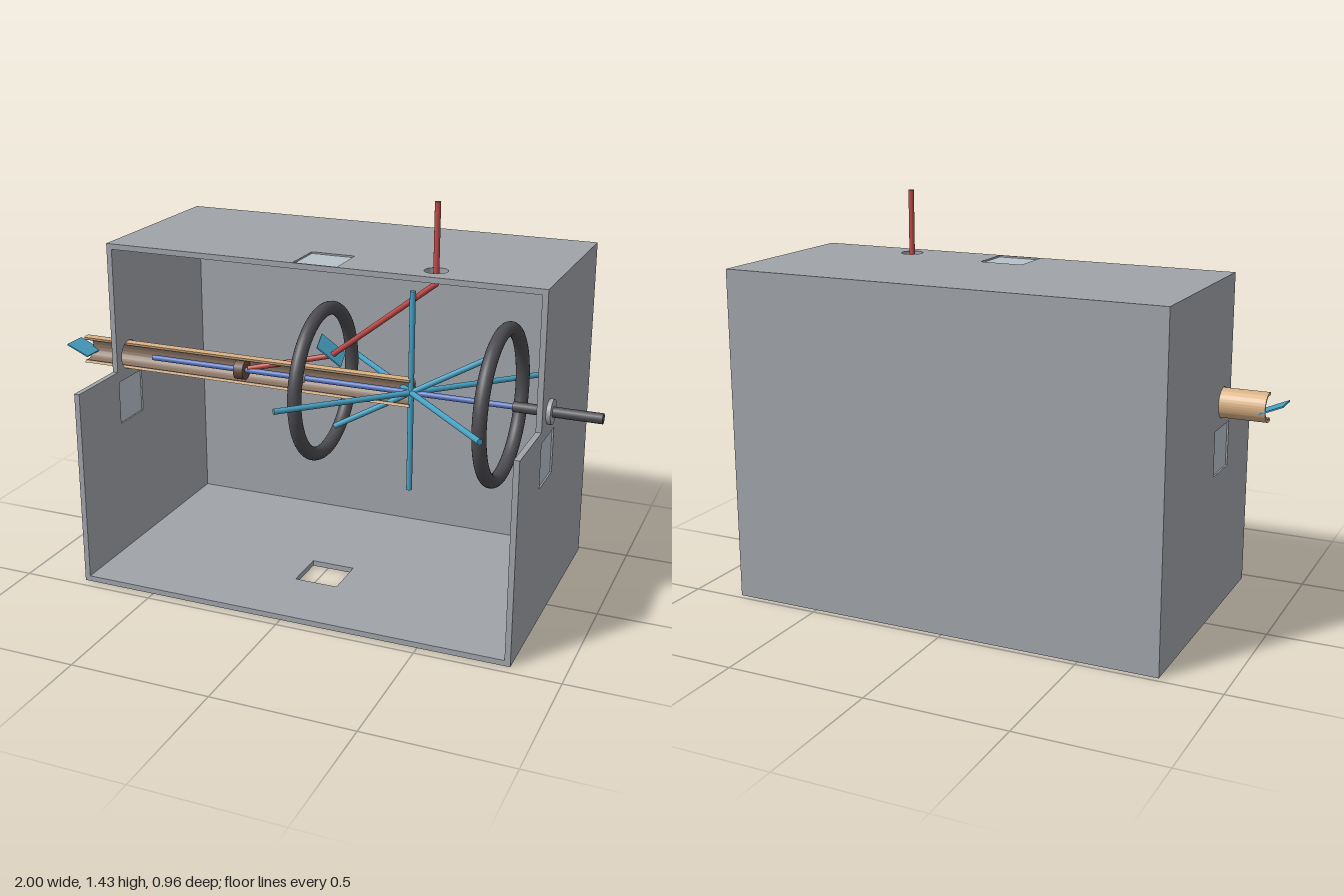
import * as THREE from 'three';
import { toCreasedNormals } from 'three/addons/utils/BufferGeometryUtils.js';

const mat = (name, color) => {
  const m = new THREE.MeshStandardMaterial({ color });
  m.name = name;
  return m;
};
const V = (x, y, z) => new THREE.Vector3(x, y, z);

export function createModel() {
  const model = new THREE.Group();
  const grey = mat('housing grey', 0x9fa3a8);
  const glass = mat('pane grey blue', 0xb6c1c9);
  const dark = mat('dark rubber', 0x4c4b50);
  const teal = mat('sky blue', 0x46a0c2);
  const blue = mat('shaft blue', 0x5474bd);
  const red = mat('red', 0xbd4b49);
  const tan = mat('tan', 0xd8b083);
  const brown = mat('brown', 0x86705f);
  const umber = mat('dark brown', 0x654d40);

  const AY = 0.765, AZ = 0.117; // axis of the mechanism
  const T = 0.02;               // wall thickness
  const X0 = -0.78, X1 = 0.82, ZB = -0.48, ZT = 0.204, ZF = 0.464, H = 1.2, NOTCH = 0.72;

  const add = (name, geo, material, parent = model) => {
    const mesh = new THREE.Mesh(geo, material);
    mesh.name = name;
    parent.add(mesh);
    return mesh;
  };
  // round bar between two points
  const rod = (name, a, b, r, material, parent = model) => {
    const d = b.clone().sub(a);
    const m = add(name, new THREE.CylinderGeometry(r, r, d.length(), 20), material, parent);
    m.position.copy(a).add(b).multiplyScalar(0.5);
    m.quaternion.setFromUnitVectors(V(0, 1, 0), d.normalize());
    return m;
  };
  const polygon = pts => new THREE.Shape(pts.map(p => new THREE.Vector2(...p)));
  const square = (cx, cy, h) => polygon([[cx - h, cy - h], [cx - h, cy + h], [cx + h, cy + h], [cx + h, cy - h]]);
  const circle = (cx, cy, r) => new THREE.Path().absarc(cx, cy, r, 0, Math.PI * 2, true);
  const extrude = (shape, depth) => toCreasedNormals(
    new THREE.ExtrudeGeometry(shape, { depth, bevelEnabled: false, curveSegments: 32 }), 0.5);
  // outline in (z, y) running towards -x, and outline in (x, z) running towards -y
  const alongX = (shape, depth, x) => extrude(shape, depth).rotateY(-Math.PI / 2).translate(x, 0, 0);
  const alongY = (shape, depth, y) => extrude(shape, depth).rotateX(Math.PI / 2).translate(0, y, 0);

  // housing: notched side walls, floor, roof and back
  const housing = new THREE.Group();
  housing.name = 'housing';
  model.add(housing);
  const WIN = 0.08, WX = 0.02, WY = 0.6;
  for (const [side, x, r] of [['right', X0 + T, 0.054], ['left', X1, 0.02]]) {
    const wall = polygon([[ZB, 0], [ZF, 0], [ZF, NOTCH], [ZT, NOTCH], [ZT, H], [ZB, H]]);
    wall.holes.push(square(AZ, WY, WIN), circle(AZ, AY, r));
    add(side + 'Wall', alongX(wall, T, x), grey, housing);
    add(side + 'Pane', new THREE.BoxGeometry(0.008, WIN * 2, WIN * 2), glass, housing)
      .position.set(x - T / 2, WY, AZ);
  }
  const plate = z => polygon([[X0 + T, ZB + T], [X1 - T, ZB + T], [X1 - T, z], [X0 + T, z]]);
  const floor = plate(ZF), roof = plate(ZT);
  floor.holes.push(square(WX, AZ, WIN));
  roof.holes.push(square(WX, AZ, WIN), circle(0.42, AZ, 0.04));
  add('floor', alongY(floor, T, T), grey, housing);
  add('roof', alongY(roof, T, H), grey, housing);
  add('roofPane', new THREE.BoxGeometry(WIN * 2, 0.008, WIN * 2), glass, housing).position.set(WX, H - T / 2, AZ);
  add('backWall', new THREE.BoxGeometry(X1 - X0 - 2 * T, H, T), grey, housing)
    .position.set((X0 + X1) / 2, H / 2, ZB + T / 2);

  // open trough with a darker inner face
  const channel = (ro, ri) => {
    const a = Math.PI * 70 / 180, b = Math.PI * 2 - a;
    const s = new THREE.Shape();
    s.absarc(AZ, AY, ro, a, b, false);
    s.absarc(AZ, AY, ri, b, a, true);
    return s;
  };
  add('trough', alongX(channel(0.052, 0.044), 1.28, 0.34), tan);
  add('troughLining', alongX(channel(0.044, 0.041), 1.278, 0.339), brown);

  // drive line
  const at = x => V(x, AY, AZ);
  rod('innerShaft', at(-0.66), at(0.72), 0.01, blue);
  rod('outerShaft', at(0.7), at(1), 0.018, dark);
  rod('bearingFlange', at(0.815), at(0.835), 0.043, grey);
  rod('piston', at(-0.318), at(-0.282), 0.035, umber);
  add('ballJoint', new THREE.SphereGeometry(0.022, 24, 16), grey).position.copy(at(-0.07));

  // two ring wheels
  for (const x of [0.02, 0.66]) {
    add('ringWheel', new THREE.TorusGeometry(0.256, 0.024, 20, 64).rotateY(Math.PI / 2), dark)
      .position.copy(at(x));
  }

  // star of crossed bars
  const star = new THREE.Group();
  star.name = 'spokeStar';
  star.position.copy(at(0.34));
  model.add(star);
  for (const d of [V(0, 0.357, 0), V(0.352, 0, 0.352), V(-0.352, 0, 0.352), V(0.28, 0.162, 0)]) {
    rod('spoke', d.clone().negate(), d, 0.01, teal, star);
  }

  // bent red lever
  const lever = [V(0.42, 1.43, AZ), V(0.42, 1.155, AZ), V(0.01, 0.83, 0.03), V(-0.275, 0.772, AZ)];
  for (let i = 0; i < 3; i++) rod('leverArm', lever[i], lever[i + 1], 0.01, red);
  for (const p of lever.slice(1, 3)) add('leverBend', new THREE.SphereGeometry(0.01, 16, 12), red).position.copy(p);

  // thin tilted vanes
  const vane = (name, w, d, pos, tilt, spin) => {
    const m = add(name, new THREE.BoxGeometry(w, 0.005, d).rotateY(spin), teal);
    m.position.copy(pos);
    m.rotation.z = tilt;
  };
  vane('endVane', 0.092, 0.094, V(-0.957, 0.767, 0.112), -0.41, 0);
  vane('leverVane', 0.11, 0.1, V(0.005, 0.845, 0.02), -0.75, 0.3);

  return model;
}
